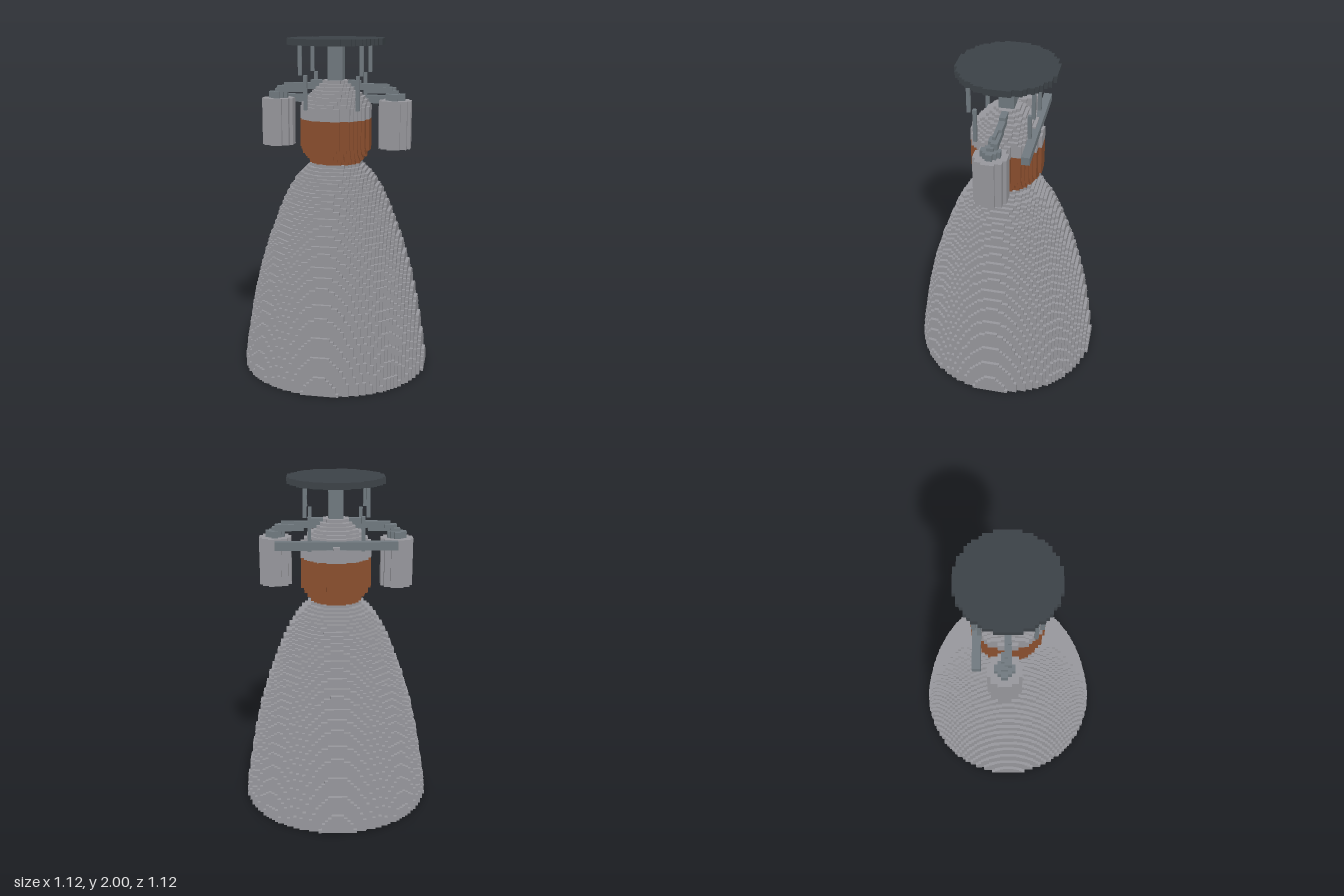
import * as THREE from 'three';

const S = 2 / 107;            // voxel size
const N = [62, 107, 62];      // voxel grid, centred on x and z
const C = 31;

const mat = (name, color, extra = {}) => Object.assign(new THREE.MeshStandardMaterial({ color, ...extra }), { name });

// Piecewise linear radius (in voxels) along a list of [height, radius]
function radiusAt(profile, y) {
  for (let i = 1; i < profile.length; i++) {
    const [y0, r0] = profile[i - 1], [y1, r1] = profile[i];
    if (y <= y1) return r0 + (r1 - r0) * Math.max(0, (y - y0) / (y1 - y0));
  }
  return profile[profile.length - 1][1];
}

// Exposed faces of one part, joined into runs along one axis
function voxelGeometry(get, id) {
  const pos = [], nor = [], idx = [];
  for (let d = 0; d < 3; d++) {
    const u = (d + 1) % 3, v = (d + 2) % 3;
    for (const s of [1, -1]) {
      const normal = [0, 0, 0];
      normal[d] = s;
      const p = [0, 0, 0];
      const open = () => get(p[0], p[1], p[2]) === id
        && get(p[0] + normal[0], p[1] + normal[1], p[2] + normal[2]) === 0;
      for (let a = 0; a < N[d]; a++) for (let b = 0; b < N[v]; b++) {
        let start = -1;
        for (let k = 0; k <= N[u]; k++) {
          p[d] = a; p[v] = b; p[u] = k;
          const on = k < N[u] && open();
          if (on && start < 0) start = k;
          if (on || start < 0) continue;
          const base = pos.length / 3;
          for (const [uu, vv] of [[start, b], [k, b], [k, b + 1], [start, b + 1]]) {
            const q = [0, 0, 0];
            q[d] = a + (s > 0 ? 1 : 0); q[u] = uu; q[v] = vv;
            pos.push((q[0] - C) * S, q[1] * S, (q[2] - C) * S);
            nor.push(...normal);
          }
          const order = s > 0 ? [0, 1, 2, 0, 2, 3] : [0, 2, 1, 0, 3, 2];
          for (const i of order) idx.push(base + i);
          start = -1;
        }
      }
    }
  }
  const g = new THREE.BufferGeometry();
  g.setAttribute('position', new THREE.Float32BufferAttribute(pos, 3));
  g.setAttribute('normal', new THREE.Float32BufferAttribute(nor, 3));
  g.setIndex(idx);
  return g;
}

export function createModel() {
  const group = new THREE.Group();
  const metal = mat('nozzle grey', 0x98989d);
  const copper = mat('copper orange', 0x8b4f2e);
  const steel = mat('pipe grey', 0x717a80);
  const dark = mat('plate charcoal', 0x3c4247);
  const soot = mat('inner navy', 0x100d2c);

  const cells = new Uint8Array(N[0] * N[1] * N[2]);
  const at = (x, y, z) => (y * N[2] + z) * N[0] + x;
  const get = (x, y, z) => (x < 0 || y < 0 || z < 0 || x >= N[0] || y >= N[1] || z >= N[2]) ? 0 : cells[at(x, y, z)];
  const parts = [];
  const part = (name, material) => parts.push({ name, material });

  // Fill layers y0..y1 with a part where test(x, y, z) holds at the voxel centre
  function fill(id, y0, y1, test) {
    for (let y = y0; y < y1; y++) for (let z = 0; z < N[2]; z++) for (let x = 0; x < N[0]; x++) {
      if (test(x + 0.5 - C, y + 0.5, z + 0.5 - C)) cells[at(x, y, z)] = id;
    }
  }

  // Bell nozzle: grey outer skin, dark lining
  const bell = [[0, 30.05], [3.7, 29.8], [10.7, 28.8], [21.4, 27], [32.1, 24.7], [42.8, 21.5],
    [53.5, 17.5], [59, 15], [64.2, 11.8], [68, 8]];
  const skin = part('nozzleBell', metal);
  fill(skin, 0, 68, (x, y, z) => {
    const r = Math.hypot(x, z), R = radiusAt(bell, y);
    return r <= R && r > R - 1.5;
  });
  const lining = part('nozzleLining', soot);
  fill(lining, 0, 68, (x, y, z) => {
    const r = Math.hypot(x, z), R = radiusAt(bell, y);
    return r <= R - 1.5 && (r > R - 2.7 || y > 65);
  });

  // Combustion chamber and injector dome
  const chamber = [[68, 7.6], [69.5, 8.7], [71, 10], [73.5, 11.05], [86, 11.05], [87, 10],
    [88.5, 9], [91, 7], [93, 5], [94, 3]];
  const inside = (x, y, z) => Math.hypot(x, z) <= radiusAt(chamber, y);
  fill(part('combustionChamber', copper), 68, 82, inside);
  fill(part('injectorDome', metal), 82, 94, inside);

  // Turbopumps with caps and feed pipes, turned half way round for the second
  const pumps = part('turbopumps', metal);
  const pipes = part('feedPipes', steel);
  const path = new THREE.CatmullRomCurve3([[19.3, 89.3, 0.8], [17.5, 91, 0.4], [12, 91.3, 0], [7, 92.4, 0], [0, 93.5, 0]]
    .map(p => new THREE.Vector3(...p))).getSpacedPoints(50);
  for (const s of [1, -1]) {
    fill(pumps, 73, 88, (x, y, z) => Math.hypot(x * s - 19, z * s - 1) <= 5.1);
    fill(pipes, 88, 90, (x, y, z) => Math.hypot(x * s - 19, z * s - 1) <= 2.6);
    fill(pipes, 88, 96, (x, y, z) => (!inside(x, y, z) || y > 94)
      && path.some(p => Math.hypot(x * s - p.x, y - p.y, z * s - p.z) <= 1.35));
  }

  // Round mounting plate
  fill(part('mountingPlate', dark), 105, 107, (x, y, z) => Math.hypot(x, z) <= 15);

  parts.forEach(({ name, material }, i) => {
    const mesh = new THREE.Mesh(voxelGeometry(get, i + 1), material);
    mesh.name = name;
    group.add(mesh);
  });

  // Straight struts
  function box(name, w, h, d, x, y, z) {
    const mesh = new THREE.Mesh(new THREE.BoxGeometry(w, h, d), steel);
    mesh.name = name;
    mesh.position.set(x, y, z);
    group.add(mesh);
  }
  box('centralMast', 0.088, 0.233, 0.088, 0, 1.846, 0);
  box('crossBar', 0.7, 0.047, 0.047, 0, 1.63, -0.168);
  for (const sx of [1, -1]) for (const sz of [1, -1]) {
    box('upperRod', 0.021, 0.17, 0.021, sx * 0.178, 1.878, sz * 0.178);
    box('lowerRod', 0.021, 0.2, 0.021, sx * 0.153, 1.693, sz * 0.153);
  }
  return group;
}
